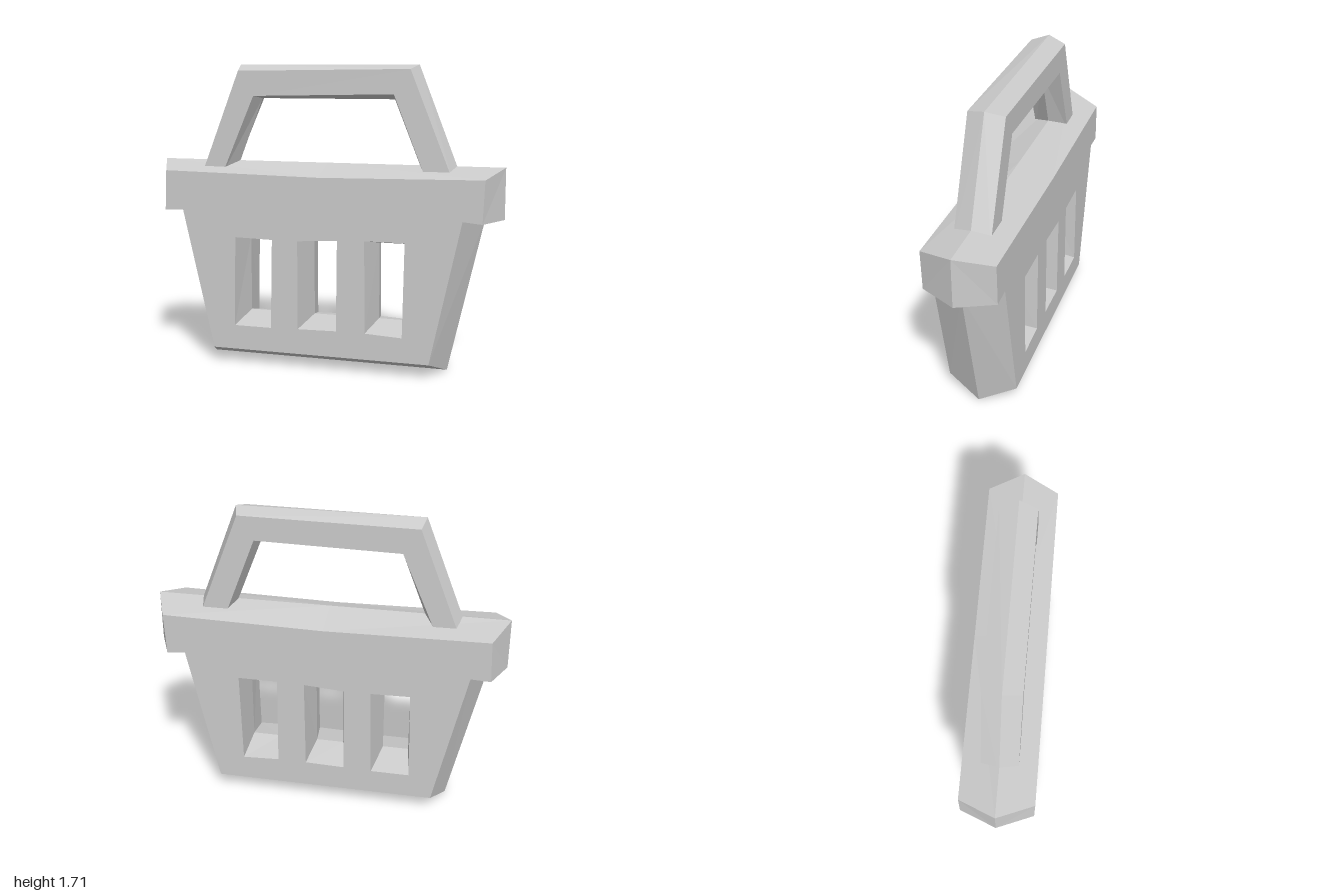
import * as THREE from 'three';

const toPoints = (list) => list.map(([x, y]) => new THREE.Vector2(x, y));

// A slab whose flat front and back faces slope to a ridge in the middle plane.
// Outlines run counter-clockwise; each is given on the face and on the ridge.
function ridgedSlab(name, depth, outline, holes = []) {
  const loops = [outline, ...holes.map(({ face, ridge }) => ({
    face: [...face].reverse(), ridge: [...ridge].reverse(),
  }))];
  const positions = [];
  // Adds a triangle and its mirror image behind the middle plane
  const addTriangle = (a, b, c) => {
    positions.push(...a, ...b, ...c);
    for (const [x, y, z] of [a, c, b]) positions.push(x, y, -z);
  };

  // Flat faces
  const contours = loops.map((loop) => toPoints(loop.face));
  const all = contours.flat();
  for (const tri of THREE.ShapeUtils.triangulateShape(contours[0], contours.slice(1))) {
    addTriangle(...tri.map((i) => [all[i].x, all[i].y, depth]));
  }

  // Sloped walls from each face loop to its ridge loop
  for (const { face, ridge } of loops) {
    face.forEach((p, i) => {
      const j = (i + 1) % face.length;
      const p0 = [...p, depth], p1 = [...face[j], depth];
      const q0 = [...ridge[i], 0], q1 = [...ridge[j], 0];
      addTriangle(p0, q0, q1);
      addTriangle(p0, q1, p1);
    });
  }

  const geometry = new THREE.BufferGeometry();
  geometry.setAttribute('position', new THREE.Float32BufferAttribute(positions, 3));
  geometry.computeVertexNormals();
  const mesh = new THREE.Mesh(geometry, new THREE.MeshStandardMaterial({ color: 0xcccccc, flatShading: true }));
  mesh.name = name;
  return mesh;
}

// Rectangular ridge loop of a slot
const slotRidge = (x0, x1) => [[x0, 0.27], [x1, 0.27], [x1, 0.71], [x0, 0.71]];

export function createModel() {
  const group = new THREE.Group();
  group.name = 'basket';

  // Tapered body with an overhanging rim
  const body = {
    face: [[-0.63, 0.08], [0.63, 0.08], [0.8, 0.88], [0.905, 0.87], [0.915, 1.105],
      [0, 1.09], [-0.91, 1.105], [-0.92, 0.875], [-0.81, 0.88]],
    ridge: [[-0.7, 0], [0.7, 0], [0.895, 0.87], [1, 0.87], [1, 1.155],
      [0, 1.155], [-1, 1.155], [-1, 0.87], [-0.9, 0.87]],
  };

  // Three slightly uneven slots
  const slots = [
    { face: [[-0.5, 0.22], [-0.28, 0.22], [-0.27, 0.73], [-0.49, 0.735]], ridge: slotRidge(-0.47, -0.32) },
    { face: [[-0.12, 0.225], [0.105, 0.23], [0.11, 0.745], [-0.12, 0.73]], ridge: slotRidge(-0.08, 0.08) },
    { face: [[0.27, 0.23], [0.48, 0.22], [0.49, 0.75], [0.265, 0.75]], ridge: slotRidge(0.305, 0.47) },
  ];
  group.add(ridgedSlab('basketBody', 0.2, body, slots));

  // Arched handle, its feet sunk into the rim
  const handle = {
    face: [[0.585, 1.08], [0.73, 1.08], [0.49, 1.68], [-0.5, 1.67],
      [-0.73, 1.08], [-0.605, 1.08], [-0.41, 1.53], [0.4, 1.545]],
    ridge: [[0.56, 1.08], [0.765, 1.08], [0.52, 1.705], [-0.52, 1.705],
      [-0.765, 1.08], [-0.56, 1.08], [-0.39, 1.515], [0.385, 1.515]],
  };
  group.add(ridgedSlab('handle', 0.1, handle));

  return group;
}
